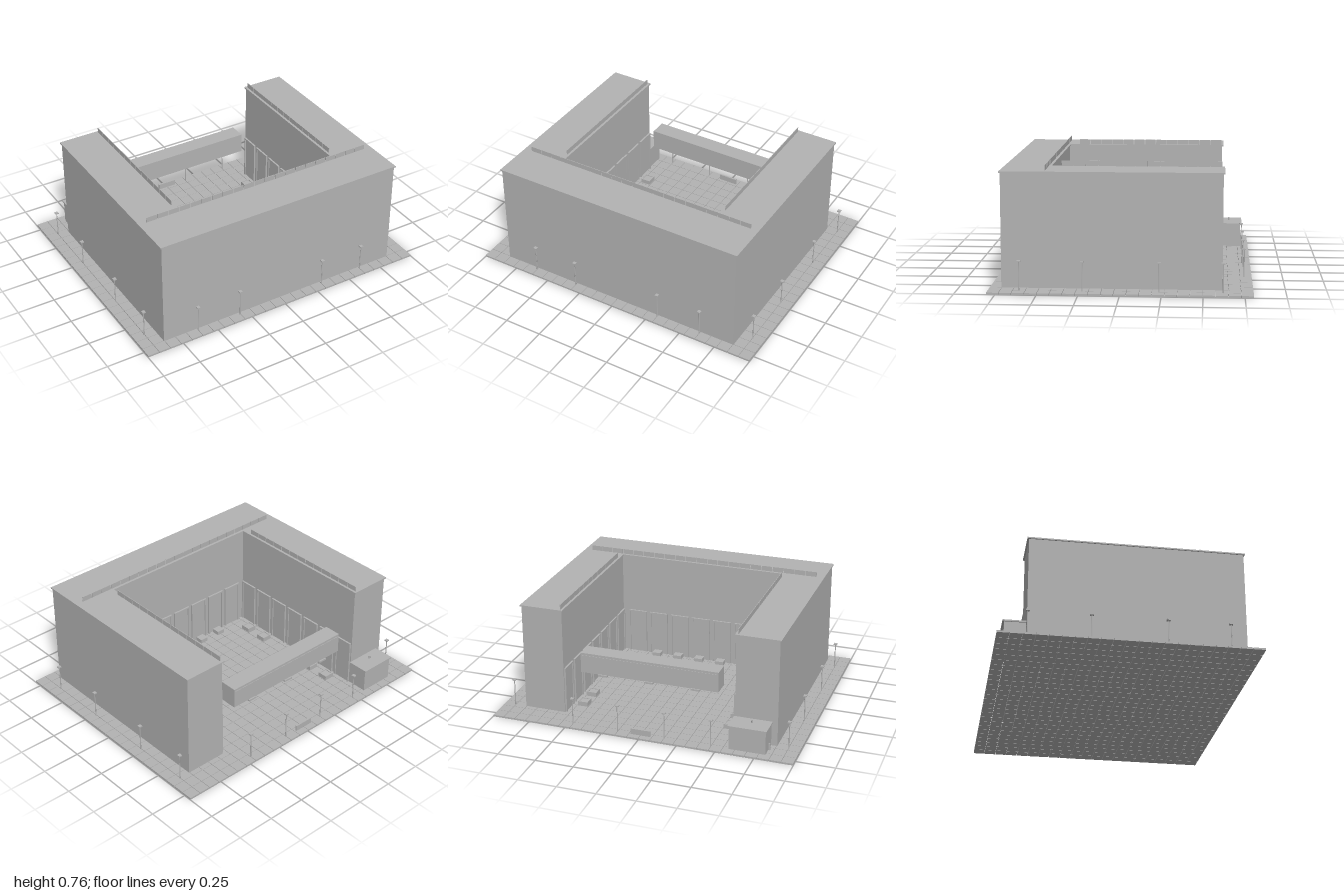
import * as THREE from 'three';
import { mergeGeometries } from 'three/addons/utils/BufferGeometryUtils.js';

const concrete = new THREE.MeshStandardMaterial({ color: 0xb3b3b3 });
concrete.name = 'concrete grey';

// box geometry given by its min and max corners
function span(x0, x1, y0, y1, z0, z1) {
  return new THREE.BoxGeometry(x1 - x0, y1 - y0, z1 - z0)
    .translate((x0 + x1) / 2, (y0 + y1) / 2, (z0 + z1) / 2);
}

// U-shaped block open to the back
function courtBlock(outX, innerX, backZ, innerZ, frontZ, y0, y1) {
  const s = new THREE.Shape([
    [-outX, -frontZ], [outX, -frontZ], [outX, -backZ], [innerX, -backZ],
    [innerX, -innerZ], [-innerX, -innerZ], [-innerX, -backZ], [-outX, -backZ],
  ].map(([x, y]) => new THREE.Vector2(x, y)));
  return new THREE.ExtrudeGeometry(s, { depth: y1 - y0, bevelEnabled: false })
    .rotateX(-Math.PI / 2).translate(0, y0, 0);
}

export function createModel() {
  const model = new THREE.Group();
  model.name = 'courtyardBuilding';
  const add = (name, geos) => {
    const mesh = new THREE.Mesh(Array.isArray(geos) ? mergeGeometries(geos) : geos, concrete);
    mesh.name = name;
    model.add(mesh);
  };
  const ground = 0.012;

  // paving tiles
  const tiles = [], px = 2 / 26, pz = 1.61 / 21, gap = 0.0015;
  for (let i = 0; i < 26; i++) {
    for (let j = 0; j < 21; j++) {
      const x = -1 + i * px, z = -0.805 + j * pz;
      tiles.push(span(x + gap, x + px - gap, 0, ground, z + gap, z + pz - gap));
    }
  }
  add('pavingTiles', tiles);

  // building and overhanging roof slab
  add('walls', courtBlock(0.85, 0.575, -0.617, 0.455, 0.732, 0.005, 0.72));
  add('roofSlab', courtBlock(0.858, 0.567, -0.627, 0.446, 0.74, 0.72, 0.729));

  // roof parapet panels facing the court
  const rail = [];
  for (let i = -10; i <= 10; i++) {
    rail.push(span(i * px - 0.036, i * px + 0.036, 0.729, 0.762, 0.463, 0.467));
  }
  for (const s of [-1, 1]) {
    for (let i = 0; i < 13; i++) {
      const z = 0.348 - i * px;
      rail.push(span(s * 0.585 - 0.002, s * 0.585 + 0.002, 0.729, 0.762, z - 0.036, z + 0.036));
    }
  }
  add('parapetPanels', rail);

  // tall framed openings along the court walls
  const frames = [];
  for (let i = -3; i <= 3; i++) {
    const c = i * 0.155;
    for (const e of [-0.06, 0.06]) {
      frames.push(span(c + e - 0.005, c + e + 0.005, ground, 0.32, 0.443, 0.456));
    }
    frames.push(span(c - 0.065, c + 0.065, 0.31, 0.32, 0.443, 0.456));
    frames.push(span(c - 0.055, c + 0.055, ground, 0.31, 0.45, 0.456));
    for (const s of [-1, 1]) {
      const z = c - 0.08;
      const side = (inner, y0, y1, z0, z1) => frames.push(
        span(Math.min(s * inner, s * 0.576), Math.max(s * inner, s * 0.576), y0, y1, z0, z1));
      for (const e of [-0.06, 0.06]) side(0.563, ground, 0.32, z + e - 0.005, z + e + 0.005);
      side(0.563, 0.31, 0.32, z - 0.065, z + 0.065);
      side(0.57, ground, 0.31, z - 0.055, z + 0.055);
    }
  }
  add('courtOpenings', frames);

  // raised gateway beam with a top trim and three plates
  add('gatewayBeam', span(-0.46, 0.46, 0.31, 0.445, -0.6, -0.487));
  add('beamTrim', span(-0.46, 0.46, 0.425, 0.43, -0.603, -0.6));
  add('beamPlates', [-0.31, 0, 0.31].map((x) => span(x - 0.03, x + 0.03, 0.3, 0.312, -0.609, -0.59)));

  // small shed behind the right wing
  add('shed', span(-0.81, -0.575, 0.005, 0.165, -0.75, -0.617));
  add('shedRoof', span(-0.817, -0.568, 0.165, 0.175, -0.76, -0.617));
  add('shedVent', new THREE.CylinderGeometry(0.006, 0.006, 0.022, 8).translate(-0.7, 0.184, -0.67));
  add('shedBollard', span(-0.822, -0.812, ground, 0.055, -0.685, -0.675));

  // lamp posts around the edge
  const spots = [];
  for (const s of [-1, 1]) {
    for (const z of [-0.62, -0.235, 0.23, 0.615]) spots.push([s * 0.925, z]);
    for (const x of [0.31, 0.615]) spots.push([s * x, 0.75]);
    for (const x of [0.155, 0.46]) spots.push([s * x, -0.755]);
  }
  add('lampPosts', spots.map(([x, z]) =>
    new THREE.CylinderGeometry(0.003, 0.004, 0.178, 8).translate(x, ground + 0.089, z)));
  add('lampHeads', spots.map(([x, z]) => span(x - 0.011, x + 0.011, 0.188, 0.196, z - 0.011, z + 0.011)));

  // square planters: four rims around a lower bed
  const planters = [];
  for (const x of [-0.5, 0.5]) {
    for (const z of [-0.465, -0.315, 0.15, 0.305]) {
      for (const s of [-1, 1]) {
        planters.push(span(x + s * 0.03 - 0.004, x + s * 0.03 + 0.004, ground, 0.042, z - 0.034, z + 0.034));
        planters.push(span(x - 0.026, x + 0.026, ground, 0.042, z + s * 0.03 - 0.004, z + s * 0.03 + 0.004));
      }
      planters.push(span(x - 0.026, x + 0.026, ground, 0.037, z - 0.026, z + 0.026));
    }
  }
  add('planters', planters);

  // entrance blocks along the front wing and a bench at the back
  add('entranceBlocks', [-2, -1, 0, 1, 2].map((i) =>
    span(i * 0.155 - 0.029, i * 0.155 + 0.029, ground, 0.04, 0.39, 0.444)));
  add('bench', span(-0.065, 0.065, ground, 0.05, -0.762, -0.75));

  return model;
}
